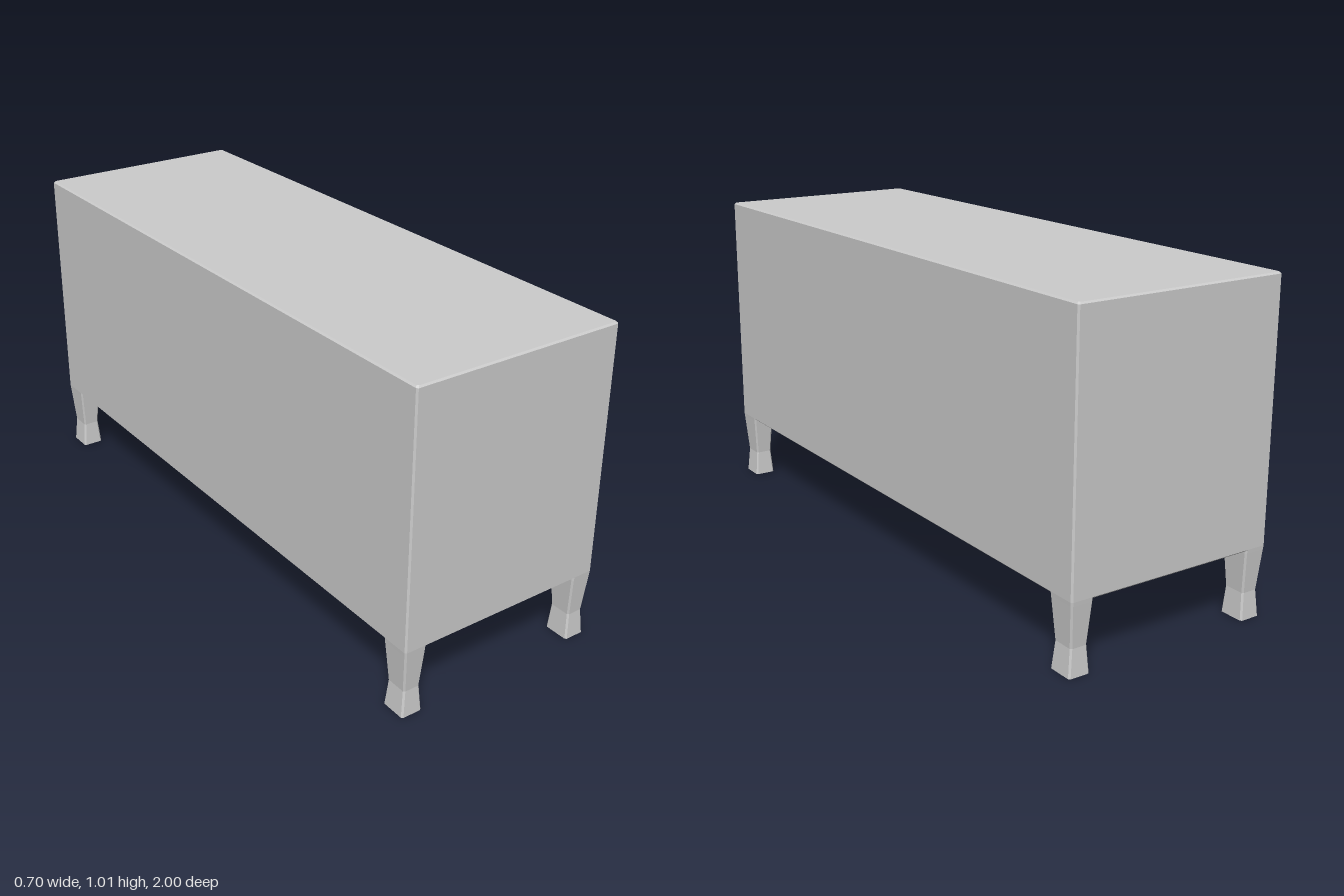
import * as THREE from 'three';

// Stack of chamfered rectangles [y, x0, x1, z0, z1, chamfer], closed at both ends.
function loft(sections) {
  const rings = sections.map(([y, x0, x1, z0, z1, c]) => [
    [x1, z1 - c], [x1, z0 + c], [x1 - c, z0], [x0 + c, z0],
    [x0, z0 + c], [x0, z1 - c], [x0 + c, z1], [x1 - c, z1],
  ].map(([x, z]) => [x, y, z]));
  const n = 8, last = rings.length - 1, pos = [];
  const tri = (a, b, c) => pos.push(...a, ...b, ...c);
  for (let i = 0; i < last; i++) {
    for (let j = 0; j < n; j++) {
      const k = (j + 1) % n;
      const a = rings[i][j], b = rings[i][k], c = rings[i + 1][k], d = rings[i + 1][j];
      tri(a, b, c);
      tri(a, c, d);
    }
  }
  for (let j = 1; j < n - 1; j++) {
    tri(rings[0][0], rings[0][j + 1], rings[0][j]);
    tri(rings[last][0], rings[last][j], rings[last][j + 1]);
  }
  const g = new THREE.BufferGeometry();
  g.setAttribute('position', new THREE.Float32BufferAttribute(pos, 3));
  g.computeVertexNormals();
  return g;
}

export function createModel() {
  const model = new THREE.Group();
  model.name = 'cabinet';
  const material = new THREE.MeshStandardMaterial({ color: 0xcccccc, flatShading: true });
  const add = (name, geometry) => {
    const mesh = new THREE.Mesh(geometry, material);
    mesh.name = name;
    model.add(mesh);
  };

  const W = 0.348, D = 1, bottom = 0.217, top = 1.013, bevel = 0.005;

  // Box body with finely bevelled edges
  const slab = (y, inset) => [y, -W + inset, W - inset, -D + inset, D - inset, bevel];
  add('body', loft([
    slab(bottom, bevel), slab(bottom + bevel, 0), slab(top - bevel, 0), slab(top, bevel),
  ]));

  // Four legs, pinched above the foot: [y, outer x, inner x, outer z, inner z]
  const profile = [
    [0, 0.346, 0.277, 0.994, 0.911],
    [0.083, 0.338, 0.283, 0.988, 0.917],
    [0.21, 0.347, 0.275, 0.999, 0.906],
    [bottom + bevel, W, 0.275, D, 0.905],
  ];
  for (const sx of [1, -1]) {
    for (const sz of [1, -1]) {
      const sections = profile.map(([y, xo, xi, zo, zi]) => [
        y,
        sx > 0 ? xi : -xo, sx > 0 ? xo : -xi,
        sz > 0 ? zi : -zo, sz > 0 ? zo : -zi,
        bevel,
      ]);
      add((sz > 0 ? 'front' : 'back') + (sx > 0 ? 'Left' : 'Right') + 'Leg', loft(sections));
    }
  }
  return model;
}
